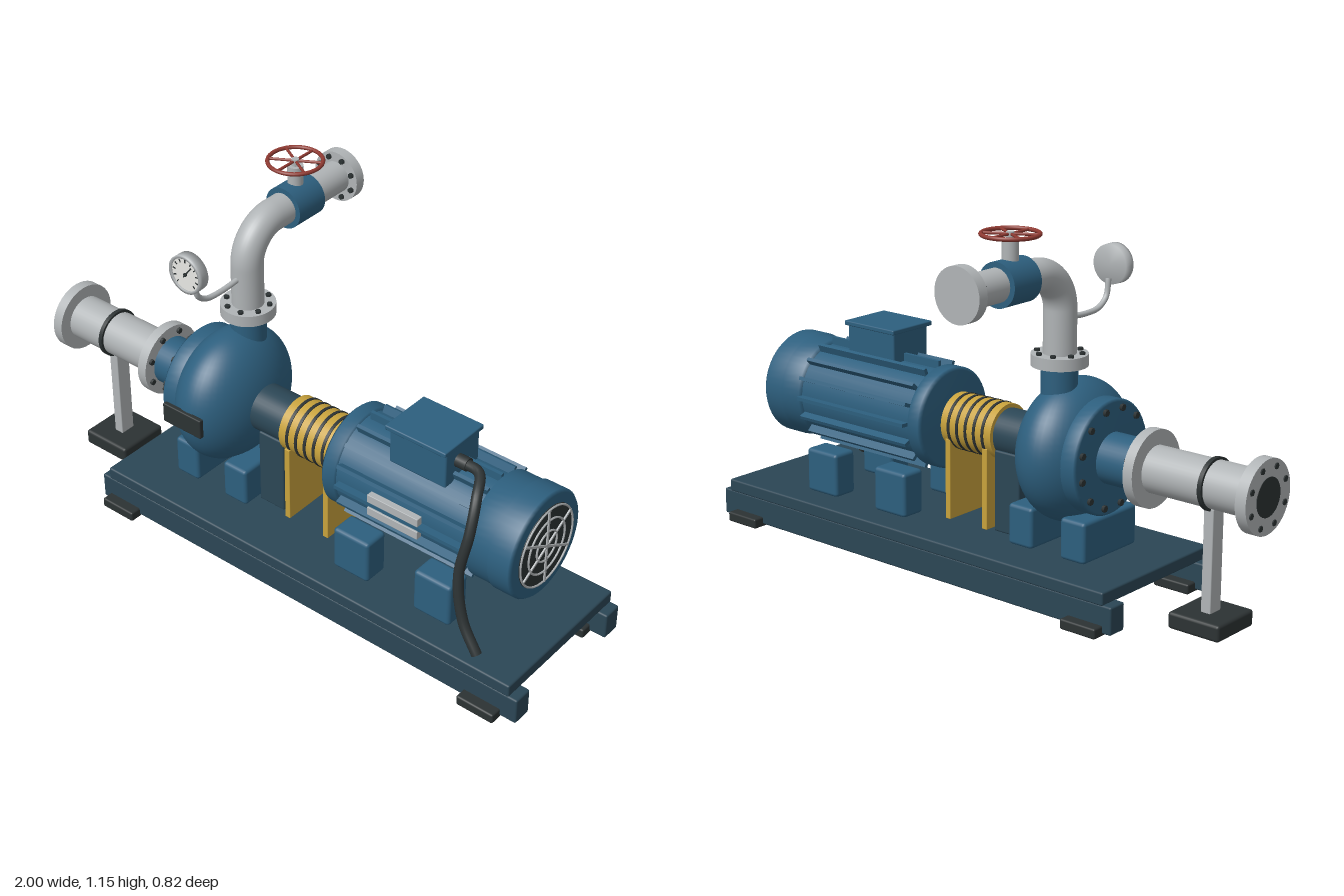
import * as THREE from 'three';
import { RoundedBoxGeometry } from 'three/addons/geometries/RoundedBoxGeometry.js';

const AY = 0.443, AZ = 0.11;   // shaft axis height and depth
const PX = -0.287, PZ = 0.05;  // discharge pipe position

const paint = (color, side = THREE.FrontSide) => new THREE.MeshStandardMaterial({ color, side });

export function createModel() {
  const model = new THREE.Group();
  const blue = paint(0x2d5f7e), steel = paint(0x2b4655), grey = paint(0xb0b4b6);
  const black = paint(0x2c3233), yellow = paint(0xc8a23c), red = paint(0x8f3a32), white = paint(0xe8e8e4);

  const add = (name, geo, mat, x = 0, y = 0, z = 0, parent = model) => {
    const m = new THREE.Mesh(geo, mat);
    m.name = name;
    m.position.set(x, y, z);
    parent.add(m);
    return m;
  };
  // Box given by its minimum and maximum corners
  const box = (name, mat, [x0, x1], [y0, y1], [z0, z1], r = 0.006) =>
    add(name, new RoundedBoxGeometry(x1 - x0, y1 - y0, z1 - z0, 2, r), mat, (x0 + x1) / 2, (y0 + y1) / 2, (z0 + z1) / 2);
  // Turn a +y geometry along another axis
  const along = (geo, axis) => axis === 'x' ? geo.rotateZ(-Math.PI / 2) : axis === 'z' ? geo.rotateX(Math.PI / 2) : geo;
  // Solid of revolution: profile points are [radius, distance along the axis]
  const turned = (name, mat, pts, axis, x, y, z) =>
    add(name, along(new THREE.LatheGeometry(pts.map(p => new THREE.Vector2(...p)), 48), axis), mat, x, y, z);
  // Cylinder from a to b along an axis; the other two coordinates come from the centre
  const rod = (name, mat, r, a, b, axis, centre, seg = 40) => {
    const p = { x: centre[0], y: centre[1], z: centre[2] };
    p[axis] = (a + b) / 2;
    return add(name, along(new THREE.CylinderGeometry(r, r, b - a, seg), axis), mat, p.x, p.y, p.z);
  };
  const shaftRod = (name, mat, r, a, b) => rod(name, mat, r, a, b, 'x', [0, AY, AZ]);
  const tube = (name, mat, pts, r, n = 48) =>
    add(name, new THREE.TubeGeometry(new THREE.CatmullRomCurve3(pts.map(p => new THREE.Vector3(...p))), n, r, 14), mat);
  // Ring of hexagonal bolt heads
  const bolts = (name, count, ring, size, axis, x, y, z) => {
    const g = new THREE.Group();
    g.name = name;
    g.position.set(x, y, z);
    for (let i = 0; i < count; i++) {
      const a = (i + 0.5) / count * Math.PI * 2, u = ring * Math.cos(a), v = ring * Math.sin(a);
      const p = axis === 'x' ? [0, u, v] : axis === 'y' ? [u, 0, v] : [u, v, 0];
      add('bolt', along(new THREE.CylinderGeometry(size, size, 0.012, 6), axis), black, ...p, g);
    }
    model.add(g);
  };

  // Base frame
  box('baseDeck', steel, [-0.62, 0.965], [0.093, 0.135], [-0.157, 0.375]);
  for (const s of [-1, 1]) {
    const z = AZ + s * 0.232;
    box('baseRail', steel, [-0.65, 0.995], [0.008, 0.096], [z - 0.033, z + 0.033]);
    for (const x of [-0.555, 0.875])
      box('basePad', black, [x - 0.065, x + 0.065], [0, 0.033], [z - 0.07, z + 0.07]);
    // Motor feet
    for (const x of [0.312, 0.617])
      box('motorFoot', blue, [x - 0.067, x + 0.067], [0.135, 0.282], [AZ + s * 0.131 - 0.044, AZ + s * 0.131 + 0.044], 0.012);
  }

  // Pump casing, cover and feet
  const casing = add('pumpCasing', new THREE.SphereGeometry(0.225, 48, 32), blue, -0.302, AY, AZ);
  casing.scale.x = 0.64;
  turned('pumpCover', blue, [[0, 0], [0.172, 0], [0.18, 0.008], [0.18, 0.055], [0.17, 0.06]].reverse().map(p => [p[0], p[1]]).reverse(), 'x', -0.445, AY, AZ);
  bolts('coverBolts', 12, 0.155, 0.011, 'x', -0.449, AY, AZ);
  for (const x of [-0.397, -0.194])
    box('pumpFoot', blue, [x - 0.047, x + 0.047], [0.135, 0.267], [-0.02, 0.24], 0.012);
  box('pumpPlate', black, [-0.39, -0.235], [0.415, 0.483], [0.325, 0.342], 0.004);

  // Suction line
  shaftRod('suctionNeck', blue, 0.08, -0.575, -0.44);
  shaftRod('suctionInnerFlange', grey, 0.12, -0.607, -0.573);
  bolts('suctionInnerBolts', 8, 0.1, 0.01, 'x', -0.57, AY, AZ);
  shaftRod('suctionPipe', grey, 0.073, -0.97, -0.6);
  shaftRod('pipeClamp', black, 0.081, -0.822, -0.808);
  shaftRod('suctionEndFlange', grey, 0.114, -0.996, -0.96);
  shaftRod('suctionBore', black, 0.06, -0.998, -0.99);
  bolts('suctionEndBolts', 8, 0.092, 0.01, 'x', -0.994, AY, AZ);
  box('pipeStandPost', grey, [-0.832, -0.798], [0.045, 0.375], [0.083, 0.137], 0.003);
  box('pipeStandBase', black, [-0.905, -0.725], [0, 0.053], [0.02, 0.202], 0.01);

  // Bearing housing and pedestal
  shaftRod('bearingHousing', steel, 0.077, -0.2, -0.035);
  box('bearingPedestal', steel, [-0.14, -0.04], [0.135, 0.4], [0.04, 0.18]);

  // Coupling guard
  shaftRod('couplingGuard', yellow, 0.09, -0.04, 0.165);
  for (let i = 0; i < 5; i++) {
    const x = -0.007 + i * 0.035;
    shaftRod('guardSlot', black, 0.0925, x - 0.005, x + 0.005);
  }
  for (const x of [-0.01, 0.143])
    box('guardLeg', yellow, [x - 0.01, x + 0.01], [0.135, 0.4], [0.028, 0.198], 0.002);
  shaftRod('motorShaft', grey, 0.035, 0.15, 0.2);

  // Motor body with cooling fins
  turned('motorDriveBell', blue, [[0, 0], [0.155, 0], [0.165, 0.01], [0.165, 0.052], [0.14, 0.052]], 'x', 0.186, AY, AZ);
  shaftRod('motorBody', blue, 0.152, 0.23, 0.74);
  for (let i = 0; i < 16; i++) {
    const a = i / 16 * Math.PI * 2;
    const fin = add('coolingFin', new THREE.BoxGeometry(0.475, 0.036, 0.012), blue,
      0.487, AY + 0.159 * Math.cos(a), AZ + 0.159 * Math.sin(a));
    fin.rotation.x = a;
  }
  turned('fanCover', blue, [[0.14, 0], [0.168, 0], [0.168, 0.078], [0.173, 0.08], [0.173, 0.15], [0.165, 0.16], [0, 0.16]], 'x', 0.725, AY, AZ);
  for (const y of [0.417, 0.463])
    box('motorPlate', grey, [0.375, 0.56], [y - 0.014, y + 0.014], [0.265, 0.287], 0.002);

  // Fan grille
  shaftRod('fanOpening', black, 0.134, 0.87, 0.8875);
  for (const r of [0.05, 0.09, 0.13])
    add('grilleRing', new THREE.TorusGeometry(r, 0.0035, 6, 48).rotateY(Math.PI / 2), grey, 0.889, AY, AZ);
  for (let i = 0; i < 3; i++)
    add('grilleSpoke', new THREE.BoxGeometry(0.005, 0.264, 0.007), grey, 0.89, AY, AZ).rotation.x = i * Math.PI / 3;

  // Terminal box and cable
  box('terminalBox', blue, [0.4, 0.603], [0.57, 0.695], [0.057, 0.217]);
  box('terminalLid', blue, [0.392, 0.61], [0.69, 0.706], [0.047, 0.232], 0.004);
  rod('cableGland', black, 0.021, 0.6, 0.64, 'x', [0, 0.64, 0.158], 16);
  tube('cable', black, [[0.625, 0.64, 0.158], [0.685, 0.64, 0.17], [0.725, 0.61, 0.235], [0.742, 0.52, 0.285],
    [0.732, 0.38, 0.315], [0.765, 0.24, 0.33], [0.825, 0.152, 0.34]], 0.016, 64);

  // Discharge line: neck, flange, elbow and end flange
  rod('dischargeNeck', blue, 0.056, 0.56, 0.72, 'y', [PX, 0, PZ]);
  rod('dischargeFlange', grey, 0.087, 0.716, 0.753, 'y', [PX, 0, PZ]);
  bolts('dischargeBolts', 8, 0.07, 0.009, 'y', PX, 0.755, PZ);
  const path = new THREE.CurvePath();
  const v = (y, z) => new THREE.Vector3(PX, y, z);
  path.add(new THREE.LineCurve3(v(0.74, PZ), v(0.888, PZ)));
  path.add(new THREE.CubicBezierCurve3(v(0.888, PZ), v(0.954, PZ), v(1.008, PZ - 0.054), v(1.008, PZ - 0.12)));
  path.add(new THREE.LineCurve3(v(1.008, PZ - 0.12), v(1.008, -0.38)));
  add('dischargePipe', new THREE.TubeGeometry(path, 60, 0.051, 32), grey);
  rod('dischargeEndFlange', grey, 0.084, -0.41, -0.375, 'z', [PX, 1.008, 0]);
  bolts('dischargeEndBolts', 8, 0.068, 0.009, 'z', PX, 1.008, -0.372);

  // Valve and handwheel
  rod('valveBody', blue, 0.068, -0.24, -0.12, 'z', [PX, 1.008, 0]);
  rod('valveStem', grey, 0.025, 1.06, 1.133, 'y', [PX, 0, -0.18], 24);
  rod('wheelHub', grey, 0.012, 1.13, 1.155, 'y', [PX, 0, -0.18], 16);
  add('handwheelRim', new THREE.TorusGeometry(0.085, 0.0065, 10, 48).rotateX(Math.PI / 2), red, PX, 1.148, -0.18);
  for (let i = 0; i < 3; i++)
    add('handwheelSpoke', new THREE.CylinderGeometry(0.0045, 0.0045, 0.166, 8).rotateX(Math.PI / 2), red, PX, 1.148, -0.18)
      .rotation.y = i * Math.PI / 3;

  // Pressure gauge on its bent tube
  tube('gaugeTube', grey, [[PX, 0.856, 0.08], [PX, 0.85, 0.17], [PX, 0.857, 0.235], [PX, 0.885, 0.272], [PX, 0.94, 0.283]], 0.009);
  turned('gaugeCase', grey, [[0, 0], [0.062, 0], [0.063, 0.026], [0.063, 0.036], [0.054, 0.036], [0.054, 0.03]], 'z', PX, 0.982, 0.287);
  rod('gaugeDial', white, 0.055, 0.3, 0.318, 'z', [PX, 0.982, 0]);
  for (let i = 0; i < 11; i++) {
    const a = (-0.75 + i * 0.15) * Math.PI;
    add('dialTick', new THREE.BoxGeometry(0.003, 0.01, 0.002), black,
      PX + 0.045 * Math.sin(a), 0.982 + 0.045 * Math.cos(a), 0.319).rotation.z = -a;
  }
  add('dialNeedle', new THREE.BoxGeometry(0.004, 0.052, 0.002), black, PX + 0.008, 0.992, 0.32).rotation.z = -0.65;
  rod('dialHub', black, 0.006, 0.316, 0.323, 'z', [PX, 0.982, 0], 12);

  // Make turned parts visible from both sides where profiles are open
  model.traverse(o => { if (o.isMesh && o.geometry.type === 'LatheGeometry') o.material = paint(o.material.color, THREE.DoubleSide); });
  return model;
}
